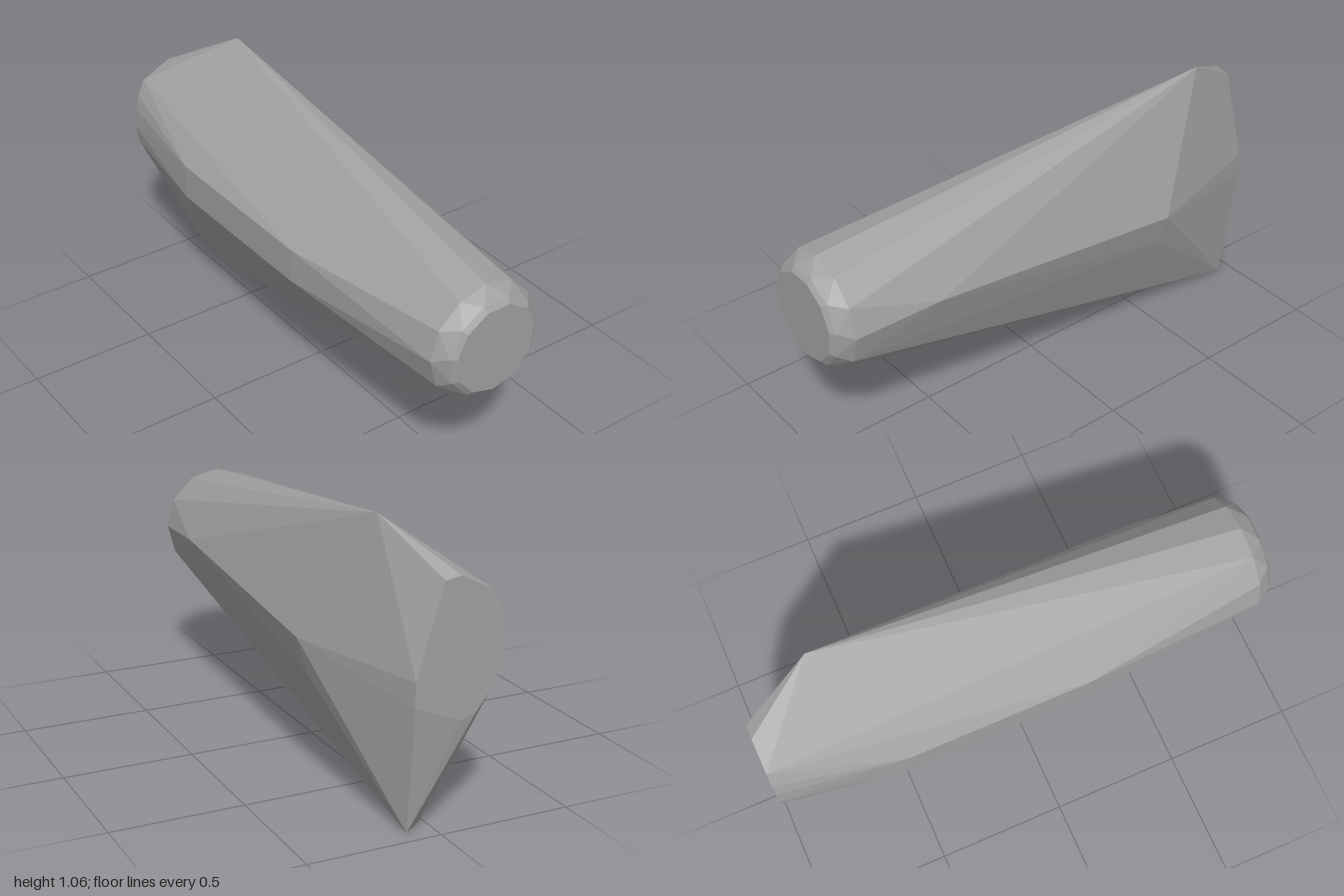
import * as THREE from 'three';
import { ConvexGeometry } from 'three/addons/geometries/ConvexGeometry.js';

// Ring of points in a plane of constant x
function ring(x, y, radius, sides, turn = 0) {
  return Array.from({ length: sides }, (_, i) => {
    const a = ((i + turn) / sides) * Math.PI * 2;
    return [x, y + Math.cos(a) * radius, Math.sin(a) * radius];
  });
}

export function createModel() {
  const model = new THREE.Group();
  const grey = new THREE.MeshStandardMaterial({ color: 0xa0a0a0 });
  grey.name = 'plain grey';

  const corners = [
    // Rounded nose: flat end and bevel
    ...ring(1, 0.635, 0.17, 11, 0.5),
    ...ring(0.985, 0.635, 0.19, 11, 0.5),
    ...ring(0.93, 0.635, 0.225, 12),
    // Top ridge
    [-0.72, 1.06, -0.11],
    // Flat front side panel
    [-0.52, 0.7, 0.275], [-0.52, 0.56, 0.275],
    [0.2, 0.7, 0.275], [0.2, 0.565, 0.275],
    // Back bulge
    [-0.45, 0.57, -0.275], [-0.45, 0.44, -0.24], [0.6, 0.66, -0.255],
    // Bottom keel
    [-0.94, 0, -0.1], [-0.9, 0.015, -0.03], [-0.68, 0.022, -0.03], [-0.72, 0.02, -0.06],
    // Tail end
    [-1, 0.9, 0.05], [-1, 0.89, -0.01], [-1, 0.56, -0.11], [-1, 0.47, -0.11],
    [-1, 0.4, 0.06], [-1, 0.42, 0.12], [-1, 0.485, 0.17],
    [-1, 0.57, 0.21], [-1, 0.64, 0.22], [-1, 0.72, 0.215], [-1, 0.78, 0.2], [-1, 0.84, 0.17],
  ];

  // Faceted convex shell
  const shell = new THREE.Mesh(
    new ConvexGeometry(corners.map((p) => new THREE.Vector3(...p))),
    grey
  );
  shell.name = 'shell';
  model.add(shell);
  return model;
}
